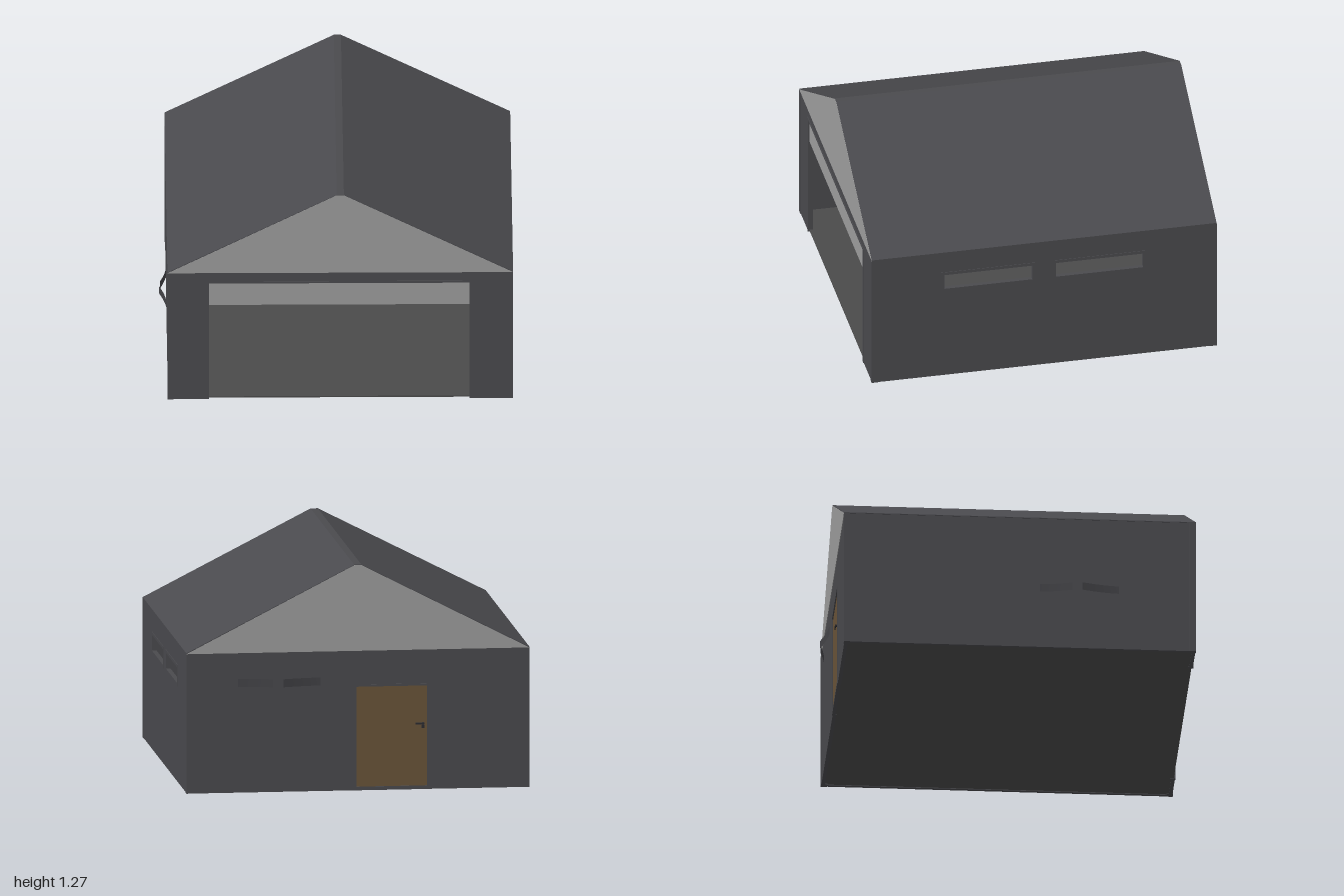
import * as THREE from 'three';

const mat = (name, color, side = THREE.FrontSide) => {
  const m = new THREE.MeshStandardMaterial({ color, side });
  m.name = name;
  return m;
};

export function createModel() {
  const wallMat = mat('charcoal cladding', 0x4a4a4e);
  const flapMat = mat('charcoal sheet', 0x434347, THREE.DoubleSide);
  const gableMat = mat('light grey panel', 0x9e9e9e);
  const woodMat = mat('brown door', 0x6a5439);
  const floorMat = mat('floor grey', 0x4a4a4a);
  const handleMat = mat('dark metal', 0x2c2c30);

  const group = new THREE.Group();
  group.name = 'garage';
  const L = -0.94, R = 0.98, F = 1, B = -0.96, EAVE = 0.785, TOP = 1.27, T = 0.02;
  const MX = (L + R) / 2, MZ = (F + B) / 2;

  const add = (name, geo, material, x = 0, y = 0, z = 0, parent = group) => {
    const m = new THREE.Mesh(geo, material);
    m.name = name;
    m.position.set(x, y, z);
    parent.add(m);
    return m;
  };
  // Box given by its limits
  const box = (name, material, x0, x1, y0, y1, z0, z1) =>
    add(name, new THREE.BoxGeometry(x1 - x0, y1 - y0, z1 - z0), material,
      (x0 + x1) / 2, (y0 + y1) / 2, (z0 + z1) / 2);
  const poly = (pts) => new THREE.Shape(pts.map(([x, y]) => new THREE.Vector2(x, y)));
  const rect = (x0, x1, y0, y1) => poly([[x0, y0], [x1, y0], [x1, y1], [x0, y1]]);
  const extrude = (shape, depth) =>
    new THREE.ExtrudeGeometry(shape, { depth, bevelEnabled: false });

  // Floor slab
  box('floor', floorMat, L + 0.01, R - 0.01, 0.004, 0.012, B + 0.01, F - 0.01);

  // Front wall around the vehicle opening
  const front = poly([[L, 0], [-0.71, 0], [-0.71, 0.72], [0.74, 0.72], [0.74, 0],
    [R, 0], [R, EAVE], [L, EAVE]]);
  add('frontWall', extrude(front, T), wallMat, 0, 0, F - T - 0.003);

  // Back wall around the side door
  const back = poly([[L, 0], [-0.37, 0], [-0.37, 0.585], [0.03, 0.585], [0.03, 0],
    [R, 0], [R, EAVE], [L, EAVE]]);
  add('backWall', extrude(back, T), wallMat, 0, 0, B + 0.003);

  // Left-hand and window walls; shape x becomes -z after the turn
  const windows = [[0.07, 0.605], [-0.56, -0.03]];
  const side = rect(-F + T, -B - T, 0, EAVE);
  windows.forEach(([z0, z1]) => side.holes.push(rect(-z1, -z0, 0.54, 0.66)));
  add('windowWall', extrude(side, T), wallMat, R - T - 0.003).rotation.y = Math.PI / 2;
  box('plainWall', wallMat, L + 0.003, L + T, 0, EAVE, B + T, F - T);

  // Window frames
  windows.forEach(([z0, z1]) => {
    const frame = rect(-z1 - 0.001, -z0 + 0.001, 0.539, 0.661);
    frame.holes.push(rect(-z1 + 0.018, -z0 - 0.018, 0.556, 0.644));
    add('windowFrame', extrude(frame, 0.026), wallMat, R - 0.026).rotation.y = Math.PI / 2;
  });

  // Corner trims
  for (const [x0, x1] of [[L, L + 0.035], [R - 0.035, R]])
    for (const [z0, z1] of [[B, B + 0.035], [F - 0.035, F]])
      box('cornerTrim', wallMat, x0, x1, 0, EAVE, z0, z1);

  // Gables with a narrow flat ridge
  const gable = poly([[L, EAVE], [R, EAVE], [0.04, TOP - 0.003], [0, TOP - 0.003]]);
  add('frontGable', extrude(gable, T), gableMat, 0, 0, F - T);
  add('backGable', extrude(gable, T), gableMat, 0, 0, B);

  // Roof skin
  const roof = poly([[L, EAVE], [L + 0.02, EAVE], [0.003, TOP - 0.009], [0.037, TOP - 0.009],
    [R - 0.02, EAVE], [R, EAVE], [R, EAVE + 0.005], [0.04, TOP], [0, TOP], [L, EAVE + 0.005]]);
  add('roof', extrude(roof, F - B - 0.002), wallMat, 0, 0, B + 0.001);

  // Vehicle opening: raised door edge and frame
  box('raisedDoor', gableMat, -0.71, 0.74, 0.583, 0.72, F - 0.02, F - 0.008);
  box('openingPost', wallMat, -0.727, -0.709, 0, 0.732, F - 0.03, F);
  box('openingPost', wallMat, 0.739, 0.757, 0, 0.732, F - 0.03, F);
  box('openingLintel', wallMat, -0.709, 0.739, 0.72, 0.732, F - 0.03, F);

  // Side door with frame
  box('sideDoor', woodMat, -0.37, 0.03, 0.02, 0.585, B + 0.006, B + T - 0.001);
  box('doorSill', wallMat, -0.37, 0.03, 0, 0.02, B, B + T);
  box('doorPost', wallMat, -0.382, -0.368, 0, 0.595, B - 0.001, B + T);
  box('doorPost', wallMat, 0.028, 0.042, 0, 0.595, B - 0.001, B + T);
  box('doorLintel', wallMat, -0.368, 0.028, 0.583, 0.595, B - 0.001, B + T);

  // Door handles inside and outside
  for (const [z, s] of [[B + T, 1], [B + 0.004, -1]]) {
    const h = new THREE.Group();
    h.name = 'doorHandle';
    h.position.set(-0.345, 0.37, z);
    h.scale.z = s;
    group.add(h);
    const spindle = add('spindle', new THREE.CylinderGeometry(0.007, 0.007, 0.014, 10), handleMat, 0, 0, 0.005, h);
    spindle.rotation.x = Math.PI / 2;
    add('lever', new THREE.BoxGeometry(0.052, 0.009, 0.006), handleMat, 0.018, 0, 0.011, h);
    add('keyPlate', new THREE.BoxGeometry(0.014, 0.018, 0.004), handleMat, 0, -0.018, 0.001, h);
  }

  // Curved sheet flaps standing off the walls, [along, outward] per flap
  const flapPair = (name, lengths) => {
    const pair = new THREE.Group();
    pair.name = name;
    for (const [base, tip, out] of lengths) {
      const g = new THREE.PlaneGeometry(1, 0.045, 8, 1);
      const p = g.attributes.position;
      for (let i = 0; i < p.count; i++) {
        const t = p.getX(i) + 0.5;
        p.setX(i, base + (tip - base) * t);
        p.setZ(i, out * Math.pow(t, 1.6));
      }
      g.computeVertexNormals();
      add('flap', g, flapMat, 0, 0, 0, pair);
    }
    group.add(pair);
    return pair;
  };
  const backFlaps = flapPair('backFlaps', [[-0.23, -0.44, 0.04], [-0.69, -0.5, 0.032]]);
  backFlaps.rotation.y = Math.PI;
  backFlaps.position.set(0, 0.617, B);
  const sideFlaps = flapPair('sideFlaps', [[0.13, 0.31, 0.036], [0.57, 0.365, 0.042]]);
  sideFlaps.rotation.y = -Math.PI / 2;
  sideFlaps.position.set(L, 0.36, 0);

  return group;
}
